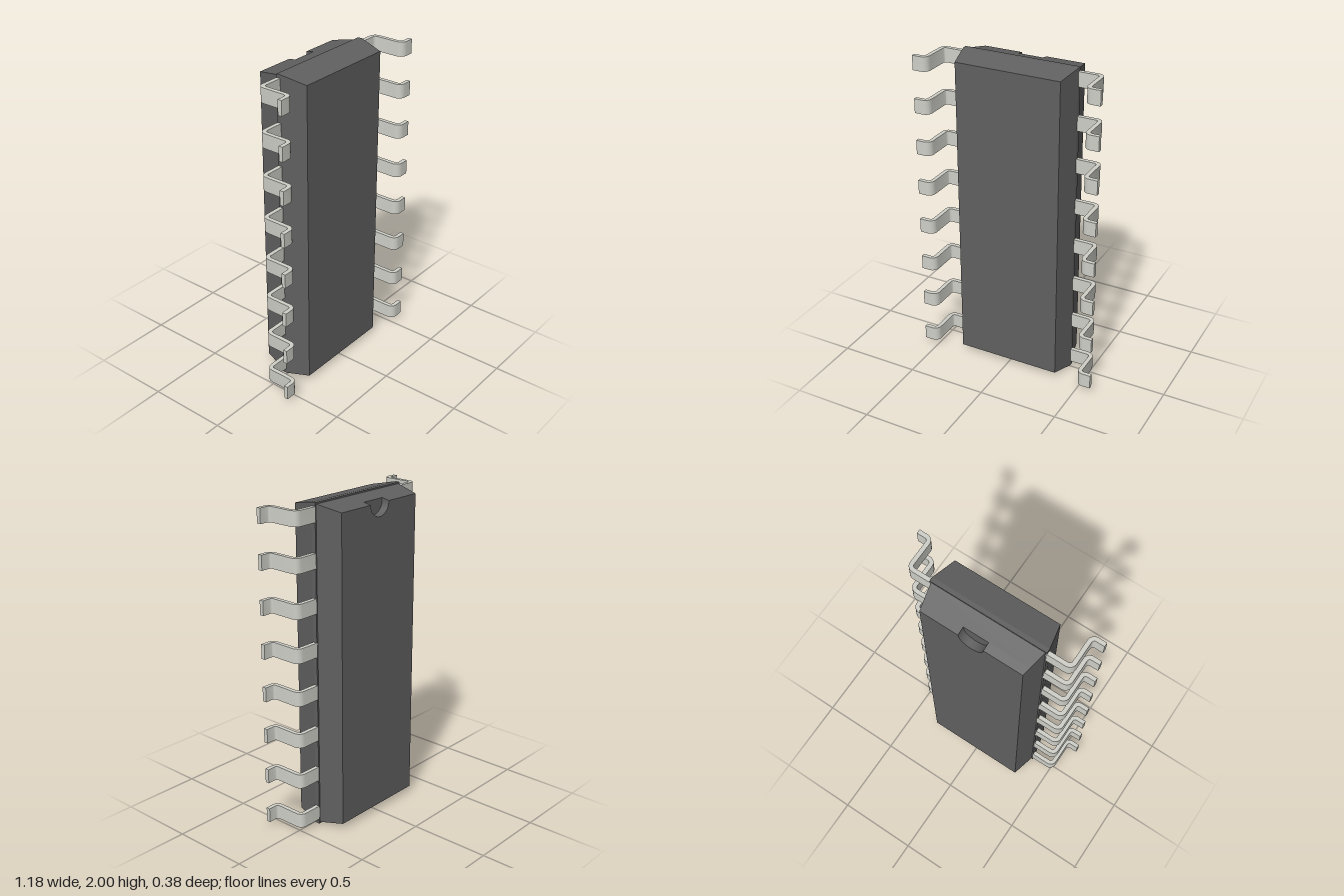
import * as THREE from 'three';
import { toCreasedNormals } from 'three/addons/utils/BufferGeometryUtils.js';

const bodyMaterial = new THREE.MeshStandardMaterial({ color: 0x606060 });
const leadMaterial = new THREE.MeshStandardMaterial({ color: 0xcfcfc8 });

// Tapered slab between z0 and z1; [w, h] are half sizes at each end.
// An optional half-round notch is cut into the top edge.
function slab(name, [w0, h0], z0, [w1, h1], z1, notch = 0) {
  const s = new THREE.Shape();
  s.moveTo(-w0, -h0);
  s.lineTo(w0, -h0);
  s.lineTo(w0, h0);
  if (notch) {
    s.lineTo(notch, h0);
    s.absarc(0, h0, notch, 0, -Math.PI, true);
  }
  s.lineTo(-w0, h0);
  s.closePath();
  const geo = new THREE.ExtrudeGeometry(s, { depth: z1 - z0, bevelEnabled: false, curveSegments: 20 });

  // Move the outer rim of the far end to its own size
  const p = geo.attributes.position;
  for (let i = 0; i < p.count; i++) {
    if (p.getZ(i) < 1e-6) continue;
    const x = p.getX(i), y = p.getY(i);
    if (Math.abs(Math.abs(x) - w0) < 1e-4) p.setX(i, Math.sign(x) * w1);
    if (Math.abs(Math.abs(y) - h0) < 1e-4) p.setY(i, Math.sign(y) * h1);
  }
  geo.translate(0, 1, z0);
  const mesh = new THREE.Mesh(toCreasedNormals(geo, 0.5), bodyMaterial);
  mesh.name = name;
  return mesh;
}

// Gull-wing lead profile in x and z, extruded along y
function leadGeometry(side) {
  const top = -0.035, foot = 0.192, outer = 0.52, tip = 0.588, thick = 0.026;
  const R = 0.042, r = R - thick, width = 0.09;
  const pts = [];
  const add = (x, z) => pts.push(new THREE.Vector2(side * x, z));
  const arc = (cx, cz, rad, a0, a1) => {
    for (let i = 0; i <= 6; i++) {
      const a = a0 + (a1 - a0) * i / 6;
      add(cx + rad * Math.cos(a), cz + rad * Math.sin(a));
    }
  };
  const q = Math.PI / 2;
  const shoulder = [outer - R, top + R];
  const heel = [outer - thick + R, foot - R];
  add(0.3, top);
  arc(...shoulder, R, -q, 0);
  arc(...heel, r, 2 * q, q);
  add(tip, foot - thick);
  add(tip, foot);
  arc(...heel, R, q, 2 * q);
  arc(...shoulder, r, 0, -q);
  add(0.3, top + thick);
  const geo = new THREE.ExtrudeGeometry(new THREE.Shape(pts), { depth: width, bevelEnabled: false });
  geo.translate(0, 0, -width / 2);
  geo.rotateX(Math.PI / 2);
  return toCreasedNormals(geo, 0.6);
}

export function createModel() {
  const model = new THREE.Group();
  model.name = 'chipPackage';

  // Body: back half with notch, stepped rim, front half
  const body = new THREE.Group();
  body.name = 'body';
  body.add(
    slab('notchedBack', [0.322, 0.96], -0.192, [0.333, 0.97], -0.142, 0.079),
    slab('backHalf', [0.333, 0.97], -0.142, [0.356, 0.991], -0.035),
    slab('rim', [0.365, 1], -0.035, [0.365, 1], -0.008),
    slab('frontHalf', [0.365, 1], -0.008, [0.331, 0.967], 0.15),
  );
  model.add(body);

  // Eight leads on each side
  for (const side of [1, -1]) {
    const row = new THREE.Group();
    row.name = side > 0 ? 'leftLeads' : 'rightLeads';
    const geo = leadGeometry(side);
    for (let i = 0; i < 8; i++) {
      const lead = new THREE.Mesh(geo, leadMaterial);
      lead.name = 'lead';
      lead.position.y = 1.005 + (i - 3.5) * 0.2653;
      row.add(lead);
    }
    model.add(row);
  }
  return model;
}
